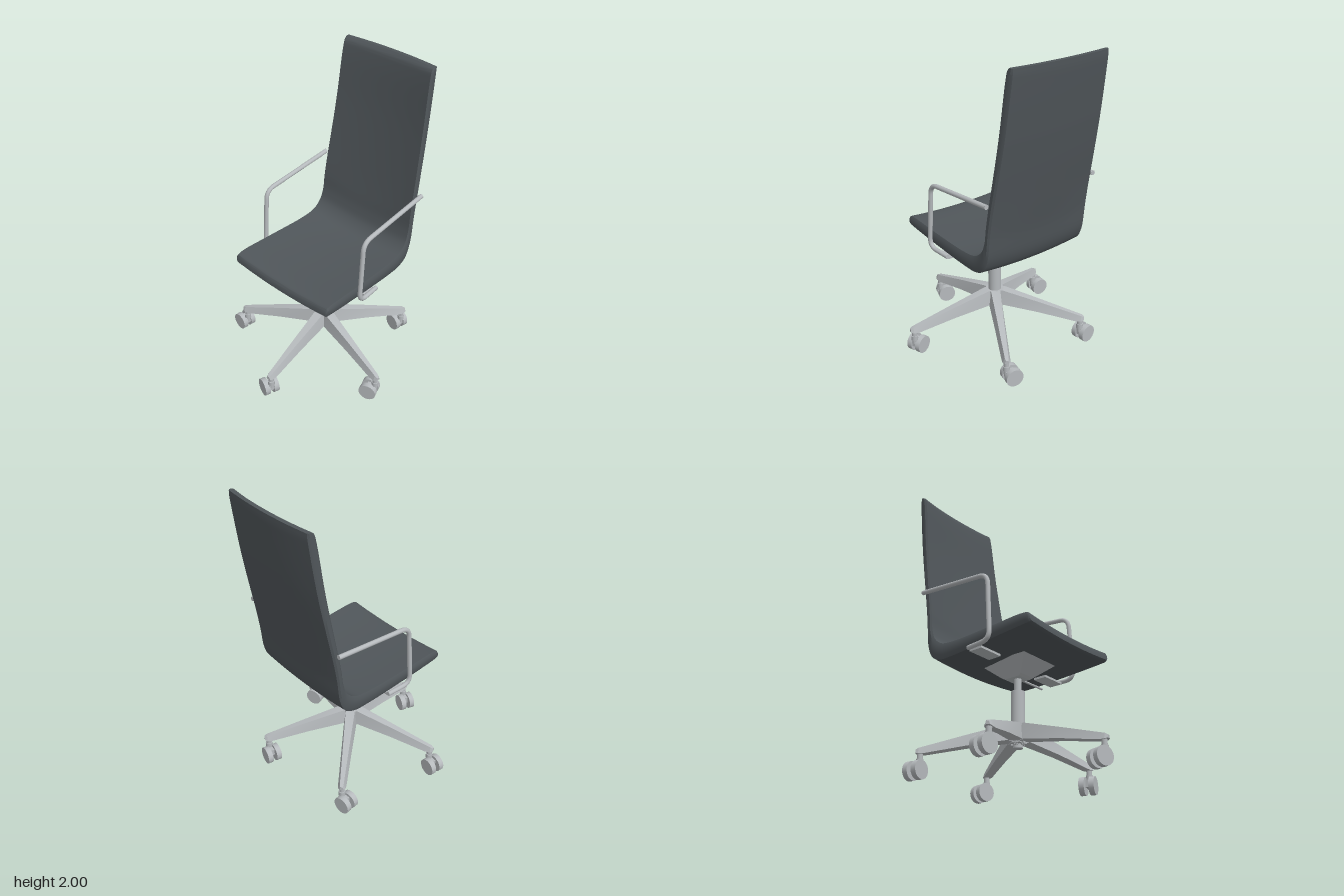
import * as THREE from 'three';
import { toCreasedNormals } from 'three/addons/utils/BufferGeometryUtils.js';

const CX = 0.01; // column axis
const upholstery = new THREE.MeshStandardMaterial({ color: 0x50565a });
upholstery.name = 'charcoal upholstery';
const metal = new THREE.MeshStandardMaterial({ color: 0xb6babd });
metal.name = 'light grey metal';

function add(parent, name, geometry, material, x = 0, y = 0, z = 0) {
  const mesh = new THREE.Mesh(geometry, material);
  mesh.name = name;
  mesh.position.set(x, y, z);
  parent.add(mesh);
  return mesh;
}

// Closed solid through equal-length rings (each ring mirrors about its middle), capped at both ends
function loft(rings, crease = 0.6) {
  const n = rings[0].length, idx = [], pts = rings.flat();
  const quad = (a, b, c, d) => idx.push(a, b, c, a, c, d);
  for (let r = 0; r < rings.length - 1; r++)
    for (let i = 0; i < n; i++) {
      const j = (i + 1) % n;
      quad(r * n + i, r * n + j, (r + 1) * n + j, (r + 1) * n + i);
    }
  const last = (rings.length - 1) * n;
  for (let i = 0; i < n / 2 - 1; i++) {
    quad(n - 1 - i, n - 2 - i, i + 1, i);
    quad(last + i, last + i + 1, last + n - 2 - i, last + n - 1 - i);
  }
  // Turn faces outward if the signed volume is negative
  let volume = 0;
  for (let i = 0; i < idx.length; i += 3)
    volume += pts[idx[i]].dot(pts[idx[i + 1]].clone().cross(pts[idx[i + 2]]));
  if (volume < 0) idx.reverse();
  const g = new THREE.BufferGeometry().setFromPoints(pts);
  g.setIndex(idx);
  return toCreasedNormals(g, crease);
}

// One-piece seat and back: front and rear profiles [half width, y, z]
function shellGeometry() {
  const curve = (list) => new THREE.CatmullRomCurve3(list.map((p) => new THREE.Vector3(...p)), false, 'centripetal');
  const front = curve([
    [.382, .785, .40], [.388, .802, .388], [.39, .81, .35], [.388, .80, .1], [.38, .793, -.2], [.377, .81, -.3],
    [.375, .86, -.36], [.372, .93, -.388], [.37, 1.03, -.408], [.365, 1.2, -.44], [.35, 1.6, -.505],
    [.34, 1.92, -.547], [.338, 1.975, -.56], [.336, 2.0, -.58]]);
  const rear = curve([
    [.382, .752, .403], [.388, .744, .39], [.39, .74, .35], [.388, .72, .1], [.38, .70, -.2], [.377, .703, -.3],
    [.375, .735, -.37], [.372, .81, -.412], [.37, .98, -.442], [.365, 1.19, -.482], [.35, 1.58, -.553],
    [.34, 1.9, -.597], [.338, 1.96, -.604], [.336, 2.0, -.606]]);
  // Section: u across the width, t from sitting face (0) to rear face (1)
  const section = [];
  const us = [-.975, -.8, -.6, -.4, -.2, 0, .2, .4, .6, .8, .975];
  section.push([-1, .25], ...us.map((u) => [u, 0]), [1, .25], [1, .75], ...us.map((u) => [-u, 1]), [-1, .75]);
  const rings = [], steps = 78;
  for (let s = 0; s <= steps; s++) {
    const f = front.getPoint(s / steps), b = rear.getPoint(s / steps);
    const dir = new THREE.Vector3(0, f.y - b.y, f.z - b.z).normalize();
    rings.push(section.map(([u, t]) => {
      const p = f.clone().lerp(b, t).addScaledVector(dir, 0.021 * u * u);
      p.x = CX + f.x * u;
      return p;
    }));
  }
  return loft(rings);
}

// Tapered star leg along +z: [radius, top, bottom, half top, half bottom]
function legGeometry() {
  return loft([
    [.0, .34, .215, .03, .042], [.06, .34, .24, .03, .042], [.30, .274, .205, .021, .034],
    [.54, .205, .16, .013, .027], [.575, .195, .16, .012, .024], [.592, .185, .165, .007, .014],
  ].map(([r, top, bottom, a, b]) => [
    new THREE.Vector3(-b, bottom, r), new THREE.Vector3(-a, top, r),
    new THREE.Vector3(a, top, r), new THREE.Vector3(b, bottom, r)]), 0.3);
}

// Twin-wheel caster trailing behind its stem
function caster() {
  const g = new THREE.Group();
  g.name = 'caster';
  add(g, 'casterStem', new THREE.CylinderGeometry(.017, .017, .1, 16), metal, 0, .125, 0);
  add(g, 'casterCollar', new THREE.CylinderGeometry(.022, .022, .03, 16), metal, 0, .115, 0);
  add(g, 'casterBody', new THREE.BoxGeometry(.06, .045, .04), metal, -.02, .072, 0);
  const wheel = new THREE.CylinderGeometry(.057, .057, .034, 28).rotateX(Math.PI / 2);
  for (const s of [-1, 1]) add(g, 'casterWheel', wheel, metal, -.036, .057, s * .031);
  return g;
}

// Rounded-corner path through points
function roundedPath(points, radius) {
  const path = new THREE.CurvePath();
  let start = points[0];
  for (let i = 1; i < points.length - 1; i++) {
    const p = points[i];
    const a = p.clone().addScaledVector(points[i - 1].clone().sub(p).normalize(), radius);
    const b = p.clone().addScaledVector(points[i + 1].clone().sub(p).normalize(), radius);
    path.add(new THREE.LineCurve3(start, a));
    path.add(new THREE.QuadraticBezierCurve3(a, p, b));
    start = b;
  }
  path.add(new THREE.LineCurve3(start, points[points.length - 1]));
  return path;
}

function armrest(side) {
  const g = new THREE.Group();
  g.name = side > 0 ? 'leftArmrest' : 'rightArmrest';
  const pts = [[.396, 1.207, -.45], [.402, 1.153, .098], [.406, .725, .125], [.393, .722, -.05]]
    .map(([x, y, z]) => new THREE.Vector3(CX + side * x, y, z));
  const path = roundedPath(pts, .065);
  add(g, 'armTube', new THREE.TubeGeometry(path, 90, .0145, 14), metal);
  // Closed tube ends
  for (const [p, rot] of [[pts[0], Math.PI], [pts[3], Math.PI]])
    add(g, 'tubeEnd', new THREE.CircleGeometry(.0145, 14).rotateY(rot), metal, p.x, p.y, p.z);
  // Mounting plate under the seat
  add(g, 'mountingPlate', new THREE.BoxGeometry(.17, .014, .09), metal, CX + side * .30, .708, 0);
  return g;
}

export function createModel() {
  const model = new THREE.Group();
  model.name = 'officeChair';

  add(model, 'seatShell', shellGeometry(), upholstery);
  model.add(armrest(1), armrest(-1));

  // Tilt mechanism: inverted pyramid under the seat
  const square = (hx, hz, y) => [[-hx, -hz], [-hx, hz], [hx, hz], [hx, -hz]]
    .map(([x, z]) => new THREE.Vector3(CX + x, y, z - .005));
  add(model, 'tiltMechanism', loft([square(.05, .055, .63), square(.06, .075, .64), square(.15, .175, .722)], 0.2), metal);
  add(model, 'heightLever', new THREE.CylinderGeometry(.007, .007, .24, 12).rotateZ(Math.PI / 2), metal, .18, .66, -.04);

  // Gas column and hub
  add(model, 'columnRod', new THREE.CylinderGeometry(.023, .023, .1, 24), metal, CX, .59, 0);
  add(model, 'columnSleeve', new THREE.CylinderGeometry(.042, .042, .23, 32), metal, CX, .435, 0);
  add(model, 'hub', new THREE.CylinderGeometry(.058, .05, .115, 32), metal, CX, .2825, 0);
  add(model, 'hubFoot', new THREE.CylinderGeometry(.03, .03, .06, 24), metal, CX, .23, 0);

  // Five-star base with casters turned at slightly different angles
  const leg = legGeometry();
  [-.32, .34, -.2, .1, -.1].forEach((yaw, k) => {
    const a = (6 + 72 * k) * Math.PI / 180;
    add(model, 'baseLeg', leg, metal, CX, 0, 0).rotation.y = a;
    const c = caster();
    c.position.set(CX + .565 * Math.sin(a), 0, .565 * Math.cos(a));
    c.rotation.y = yaw;
    model.add(c);
  });
  return model;
}
